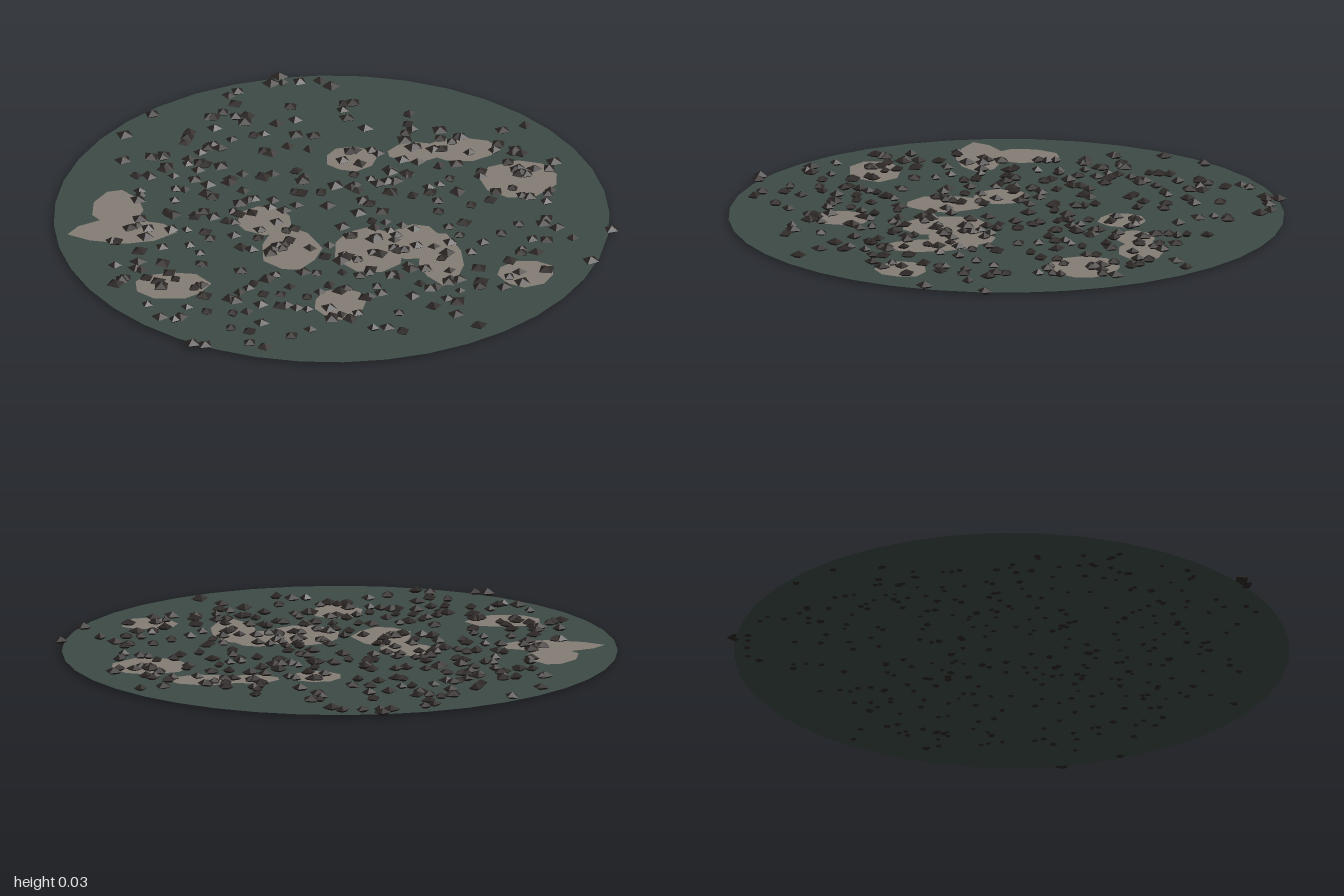
import * as THREE from 'three';
import { mergeGeometries } from 'three/addons/utils/BufferGeometryUtils.js';

const GROUND_Y = 0.009;

// Seeded random numbers in 0..1
function makeRandom(seed) {
  return () => {
    seed = (seed * 1664525 + 1013904223) % 4294967296;
    return seed / 4294967296;
  };
}

// Bare patches: centre x, centre z, radius x, radius z
const PATCHES = [
  [0.07, -0.40, 0.095, 0.085], [0.30, -0.44, 0.10, 0.07], [0.46, -0.45, 0.13, 0.085],
  [0.66, -0.24, 0.14, 0.135], [-0.77, -0.10, 0.095, 0.125], [-0.76, 0.06, 0.19, 0.085],
  [-0.25, 0.01, 0.10, 0.10], [-0.17, 0.21, 0.11, 0.145], [0.11, 0.23, 0.13, 0.17],
  [0.27, 0.18, 0.11, 0.12], [0.36, 0.30, 0.08, 0.175], [0.66, 0.41, 0.10, 0.095],
  [-0.60, 0.44, 0.135, 0.095], [-0.01, 0.59, 0.095, 0.115],
];

// Stones per 0.1 x 0.1 cell, rows from back to front, columns from -x to +x
const DENSITY = [
  '00000000220000000000',
  '00000020001000000000',
  '00010121103000000000',
  '00000211201030000000',
  '00102212110132202000',
  '00213212112213223000',
  '00024321101122102100',
  '00022222203341124200',
  '00021232212222113200',
  '00012422211202110100',
  '00212122201321101200',
  '00221122212321111210',
  '00210112213332112100',
  '00420111112223101100',
  '00233121112222212000',
  '00011133122113210000',
  '00021122232102100000',
  '00000111111210100000',
  '00000011100000000000',
  '00000000000000000000',
];

// Stones lying on the rim: x, z
const RIM_STONES = [[0.972, 0.13], [0.89, 0.34], [-0.16, -0.968], [-0.545, 0.85], [-0.50, 0.86]];

// Flattened eight-sided stone
function stone(x, z, size, random) {
  const height = 0.013 + 0.004 * random();
  return new THREE.OctahedronGeometry(1)
    .scale(size, height, size * (0.85 + 0.25 * random()))
    .rotateX((random() - 0.5) * 0.25)
    .rotateY(random() * Math.PI)
    .translate(x, 0.018, z);
}

// Flat, slightly irregular polygon
function patch([x, z, rx, rz], random) {
  const sides = 9;
  const turn = random() * Math.PI;
  const points = [];
  for (let i = 0; i < sides; i++) {
    const a = turn + ((i + 0.3 * (random() - 0.5)) / sides) * Math.PI * 2;
    const k = 0.92 + 0.13 * random();
    points.push(new THREE.Vector2(Math.cos(a) * rx * k, Math.sin(a) * rz * k));
  }
  return new THREE.ShapeGeometry(new THREE.Shape(points))
    .rotateX(-Math.PI / 2)
    .translate(x, GROUND_Y + 0.002, z);
}

export function createModel() {
  const model = new THREE.Group();
  const random = makeRandom(17);
  const add = (name, geometry, color, options = {}) => {
    const material = new THREE.MeshStandardMaterial({ color, ...options });
    const mesh = new THREE.Mesh(geometry, material);
    mesh.name = name;
    model.add(mesh);
  };

  // Ground disc
  const disc = new THREE.CircleGeometry(0.985, 40)
    .rotateX(-Math.PI / 2)
    .translate(-0.015, GROUND_Y, 0.005);
  add('groundDisc', disc, 0x3d4a45, { side: THREE.DoubleSide });

  // Bare patches
  add('barePatches', mergeGeometries(PATCHES.map((p) => patch(p, random))), 0x857d76);

  // Scattered stones
  const stones = RIM_STONES.map(([x, z]) => stone(x, z, 0.031, random));
  DENSITY.forEach((row, j) => {
    [...row].forEach((count, i) => {
      for (let n = 0; n < Number(count); n++) {
        const x = -1 + (i + random()) * 0.1;
        const z = -1 + (j + random()) * 0.1;
        const pull = Math.min(1, 0.955 / Math.hypot(x, z));
        stones.push(stone(x * pull, z * pull, 0.022 + 0.012 * random(), random));
      }
    });
  });
  const stoneGeometry = mergeGeometries(stones);

  // Rest the lowest stone on y = 0
  stoneGeometry.computeBoundingBox();
  stoneGeometry.translate(0, -stoneGeometry.boundingBox.min.y, 0);
  add('scatteredStones', stoneGeometry, 0x2b2624, { flatShading: true });

  return model;
}
